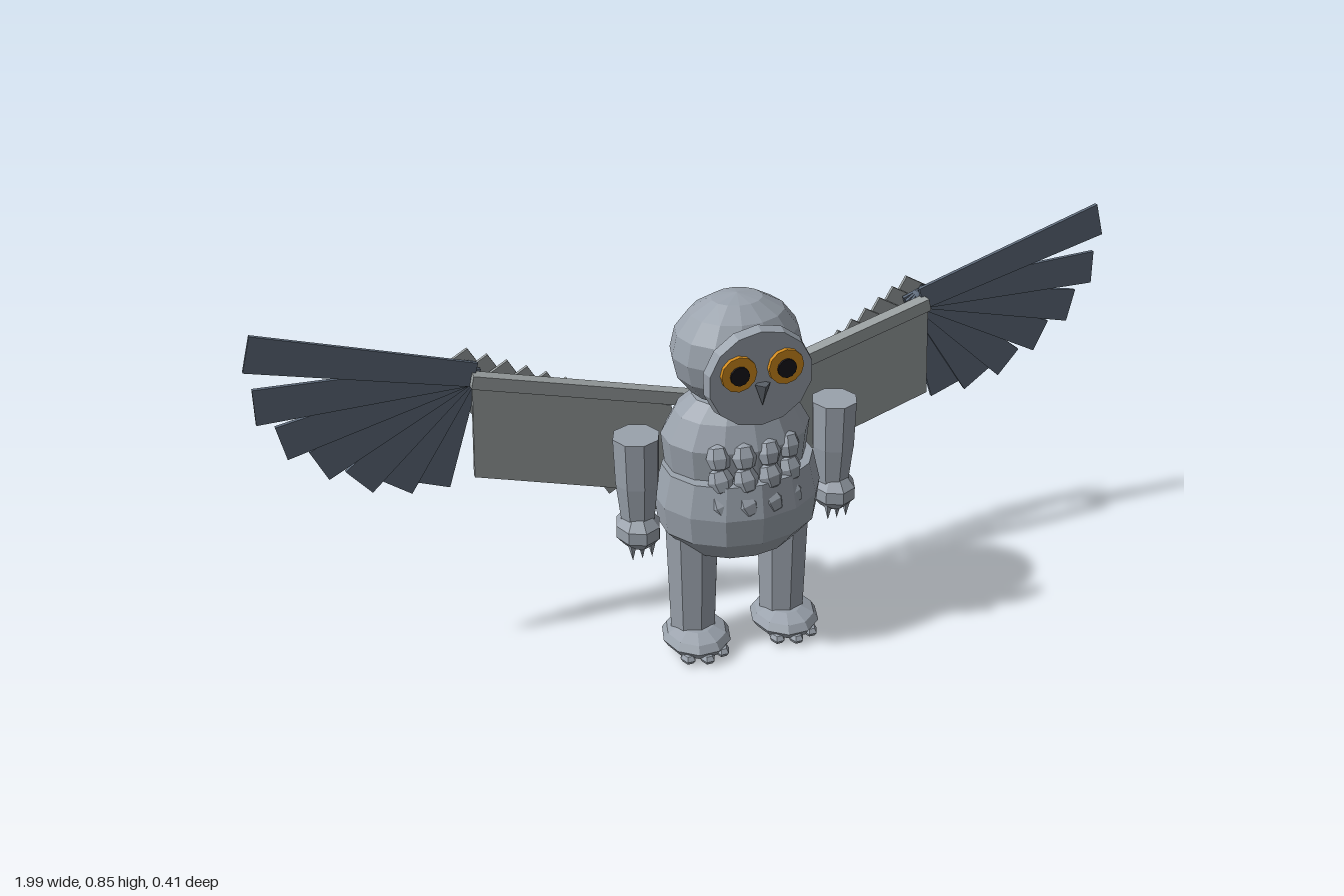
import * as THREE from 'three';

const paint = (name, color, side = THREE.FrontSide) => {
  const m = new THREE.MeshStandardMaterial({ color, flatShading: true, side });
  m.name = name;
  return m;
};

export function createModel() {
  const root = new THREE.Group();
  root.name = 'wingedBird';
  const grey = paint('bodyGrey', 0x9aa2ac);
  const featherGrey = paint('featherGrey', 0x989e9f);
  const slate = paint('slateFeather', 0x5c6878);
  const orange = paint('eyeOrange', 0xd08a1c);
  const black = paint('pupilBlack', 0x17141a);
  const horn = paint('beakHorn', 0x5a6068);

  const add = (name, geo, mat, x = 0, y = 0, z = 0, parent = root) => {
    const m = new THREE.Mesh(geo, mat);
    m.name = name;
    m.position.set(x, y, z);
    parent.add(m);
    return m;
  };
  const blob = (rx, ry, rz, w = 12, h = 7) => new THREE.SphereGeometry(1, w, h).scale(rx, ry, rz);
  const lathe = (pts, sides) =>
    new THREE.LatheGeometry(pts.map(([r, y]) => new THREE.Vector2(r, y)), sides);
  // flat plate from an outline, centred on z
  const plate = (pts, t) => {
    const shape = new THREE.Shape(pts.map(([x, y]) => new THREE.Vector2(x, y)));
    return new THREE.ExtrudeGeometry(shape, { depth: t, bevelEnabled: false }).translate(0, 0, -t / 2);
  };

  // torso: round belly and narrower chest
  add('belly', lathe([[0, 0.235], [0.05, 0.24], [0.105, 0.27], [0.146, 0.325], [0.152, 0.39],
    [0.138, 0.465], [0, 0.47]], 14).scale(1.23, 1, 1), grey, 0, 0, 0.05);
  add('chest', lathe([[0, 0.45], [0.122, 0.46], [0.128, 0.535], [0.105, 0.59], [0.075, 0.622],
    [0, 0.625]], 14).scale(1.3, 1, 1), grey, 0, 0, 0.038);

  // chest tufts, three rows of four
  [[0.525, 0.168], [0.475, 0.178], [0.42, 0.186]].forEach(([y, z], row) => {
    for (const x of [-0.08, -0.028, 0.028, 0.08]) {
      const tuft = add('chestTuft', blob(0.028, 0.032, 0.02, 6, 4), grey, x, y, z - Math.abs(x) * 0.3);
      tuft.rotation.set(-0.3, x * 3, row * 0.15);
    }
  });

  // head, facial disc, beak
  add('head', blob(0.145, 0.125, 0.124, 14, 8), grey, 0, 0.725, 0.043);
  add('faceDisc', new THREE.CylinderGeometry(0.107, 0.112, 0.025, 14).rotateX(Math.PI / 2).scale(1.08, 1, 1),
    grey, 0, 0.712, 0.167);
  add('beak', new THREE.ConeGeometry(0.017, 0.05, 4).rotateX(Math.PI), horn, 0, 0.68, 0.187);

  // rump
  const rump = add('tailTuft', blob(0.052, 0.048, 0.042, 8, 5), grey, 0, 0.297, -0.14);
  rump.rotation.x = 0.3;
  add('tailRoot', new THREE.CylinderGeometry(0.03, 0.05, 0.08, 6).rotateX(-Math.PI / 2), grey, 0, 0.3, -0.09);

  for (const s of [-1, 1]) {
    const tag = s > 0 ? 'left' : 'right';
    const part = new THREE.Group();
    part.name = tag + 'Side';
    root.add(part);

    // eyes
    const disc = (r, t) => new THREE.CylinderGeometry(r, r, t, 12).rotateX(Math.PI / 2);
    add('iris', disc(0.039, 0.01), orange, s * 0.052, 0.735, 0.184, part);
    add('pupil', disc(0.021, 0.006), black, s * 0.052, 0.733, 0.191, part);

    // arm, hand and claws
    add('upperArm', new THREE.CylinderGeometry(0.052, 0.049, 0.11, 8), grey, s * 0.23, 0.505, 0.047, part);
    add('forearm', new THREE.CylinderGeometry(0.049, 0.038, 0.1, 8), grey, s * 0.23, 0.405, 0.047, part);
    add('hand', blob(0.052, 0.046, 0.06, 8, 5), grey, s * 0.232, 0.335, 0.05, part);
    for (const i of [-1, 0, 1]) {
      add('handClaw', new THREE.ConeGeometry(0.01, 0.04, 5).rotateX(Math.PI), grey,
        s * 0.232 + i * 0.022, 0.29, 0.075, part);
    }

    // leg, foot and toes
    add('leg', new THREE.CylinderGeometry(0.062, 0.053, 0.27, 8), grey, s * 0.108, 0.19, 0.052, part);
    add('foot', blob(0.078, 0.034, 0.09, 10, 6), grey, s * 0.108, 0.038, 0.07, part);
    for (const i of [-1, 0, 1]) {
      add('toe', blob(0.018, 0.014, 0.025, 6, 4), grey, s * 0.108 + i * 0.04, 0.019,
        0.14 - Math.abs(i) * 0.015, part);
    }

    // wing membrane, swept slightly backwards
    const wing = new THREE.Group();
    wing.name = tag + 'Wing';
    root.add(wing);
    const panel = plate([[0.1, 0.54], [0.535, 0.665], [0.545, 0.44], [0.1, 0.318]]
      .map(([x, y]) => [s * x, y]), 0.01);
    const p = panel.attributes.position;
    for (let i = 0; i < p.count; i++) p.setZ(i, p.getZ(i) - 0.09 - 0.05 * Math.abs(p.getX(i)));
    panel.computeVertexNormals();
    add('wingPanel', panel, featherGrey, 0, 0, 0, wing);

    // leading edge bar
    const a = new THREE.Vector3(s * 0.06, 0.555, -0.085), b = new THREE.Vector3(s * 0.535, 0.67, -0.118);
    const bar = add('wingBar', new THREE.BoxGeometry(0.03, 0.03, a.distanceTo(b)), featherGrey, 0, 0, 0, wing);
    bar.position.copy(a).lerp(b, 0.5);
    bar.lookAt(b);

    // rear covert feathers, tips leaning inwards
    for (let i = 0; i < 9; i++) {
      const t = i / 8;
      const f = add('covertFeather', new THREE.BoxGeometry(0.08, 0.35 - 0.107 * t, 0.008), featherGrey,
        s * (0.15 + 0.345 * t), 0.408 + 0.172 * t, -0.105 - 0.095 * t, wing);
      f.rotation.z = -s * Math.PI / 6;
    }

    // fan of long outer feathers
    [[16, 0.475], [1, 0.455], [-12, 0.42], [-25, 0.375], [-40, 0.34], [-54, 0.31], [-69, 0.285]]
      .forEach(([deg, len], i) => {
        const f = add('flightFeather',
          plate([[0, -0.025], [s * len, -0.04], [s * len, 0.04], [0, 0.03]], 0.009), slate,
          s * 0.525, 0.675, -0.127 - i * 0.0075, wing);
        f.rotation.z = s * THREE.MathUtils.degToRad(deg);
      });
  }
  return root;
}
